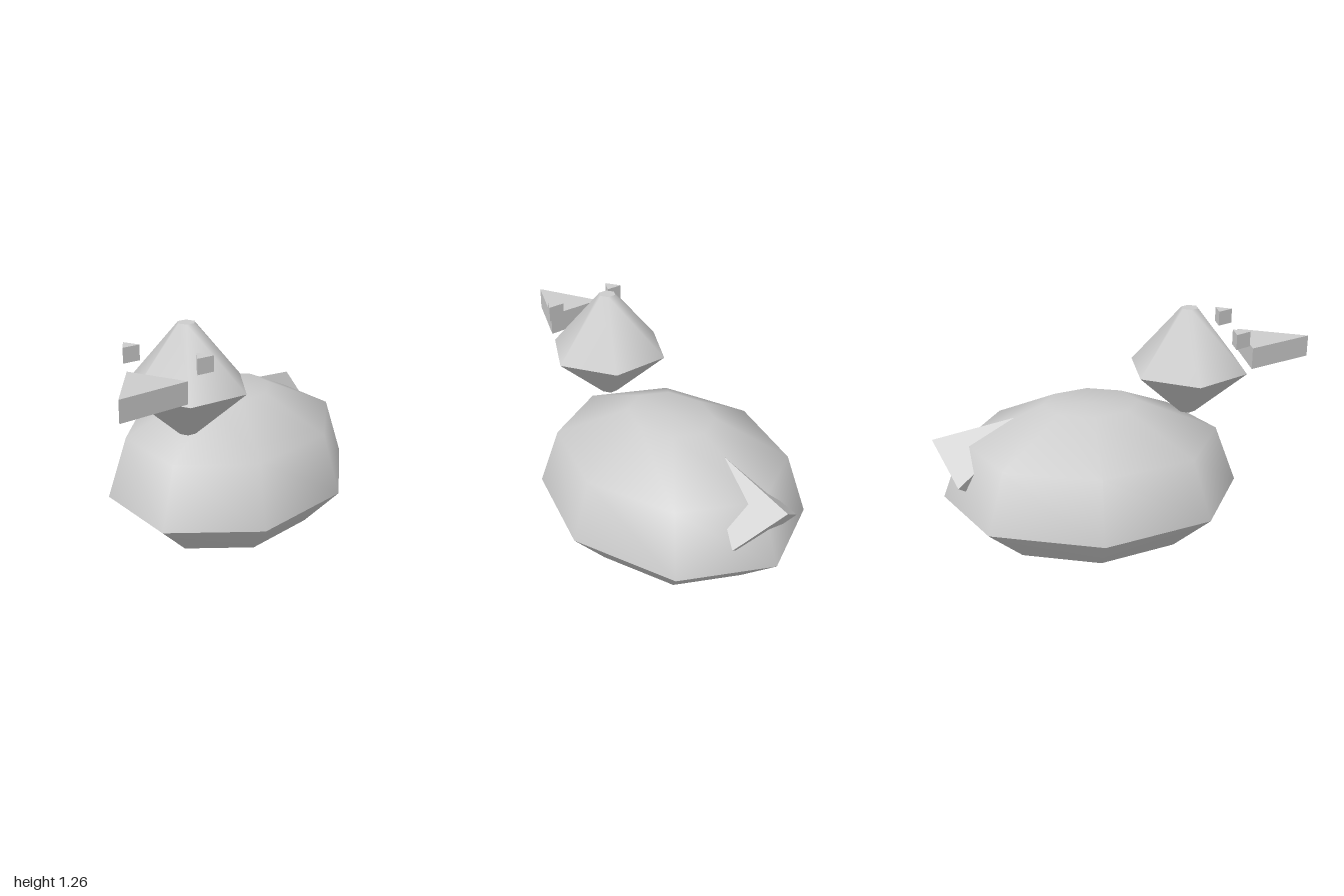
import * as THREE from 'three';

const grey = new THREE.MeshStandardMaterial({ color: 0xcccccc });
grey.name = 'pale grey';
const greyFlat = grey.clone();
greyFlat.flatShading = true;

export function createModel() {
  const group = new THREE.Group();

  const add = (name, geometry, material, x, y, z) => {
    const mesh = new THREE.Mesh(geometry, material);
    mesh.name = name;
    mesh.position.set(x, y, z);
    group.add(mesh);
    return mesh;
  };

  // Faceted lathe from [radius, height] pairs, listed bottom to top
  const lathe = (points, sides, start = 0) =>
    new THREE.LatheGeometry(points.map(([r, y]) => new THREE.Vector2(r, y)), sides, start);

  // Upright triangular prism pointing to +z
  const prism = (halfWidth, height, length) => {
    const r = length / 1.5;
    return new THREE.CylinderGeometry(r, r, height, 3).scale(halfWidth / (r * Math.sqrt(0.75)), 1, 1);
  };

  // Body: eight-sided oval, creased at its widest ring
  const bodyHull = [[0, 0], [0.352, 0], [0.452, 0.05], [0.64, 0.255]];
  const bodyDome = [[0.64, 0.255], [0.545, 0.575], [0.205, 0.76], [0, 0.76]];
  add('bodyHull', lathe(bodyHull, 8).scale(1, 1, 1.25), grey, 0, 0, -0.16);
  add('bodyDome', lathe(bodyDome, 8).scale(1, 1, 1.25), grey, 0, 0, -0.16);

  // Head: two six-sided cones with small flat ends
  const headParts = {
    headBottom: [[0, 0.69], [0.045, 0.69]],
    headLower: [[0.045, 0.69], [0.32, 0.94]],
    headUpper: [[0.32, 0.94], [0.045, 1.26]],
    headTop: [[0.045, 1.26], [0, 1.26]],
  };
  for (const [name, points] of Object.entries(headParts)) {
    add(name, lathe(points, 6, Math.PI / 2), grey, 0, 0, 0.357);
  }

  // Beak
  add('beak', prism(0.16, 0.112, 0.342), greyFlat, 0, 1.023, 0.772);

  // Eyes
  for (const [name, side] of [['leftEye', 1], ['rightEye', -1]]) {
    add(name, prism(0.045, 0.078, 0.08), greyFlat, side * 0.195, 1.143, 0.577);
  }

  // Tail: four-sided cone sunk into the back of the body
  const tail = add('tail', new THREE.ConeGeometry(0.224, 0.55, 4), greyFlat, 0, 0.57, -0.645);
  tail.rotation.x = 0.953;

  return group;
}
